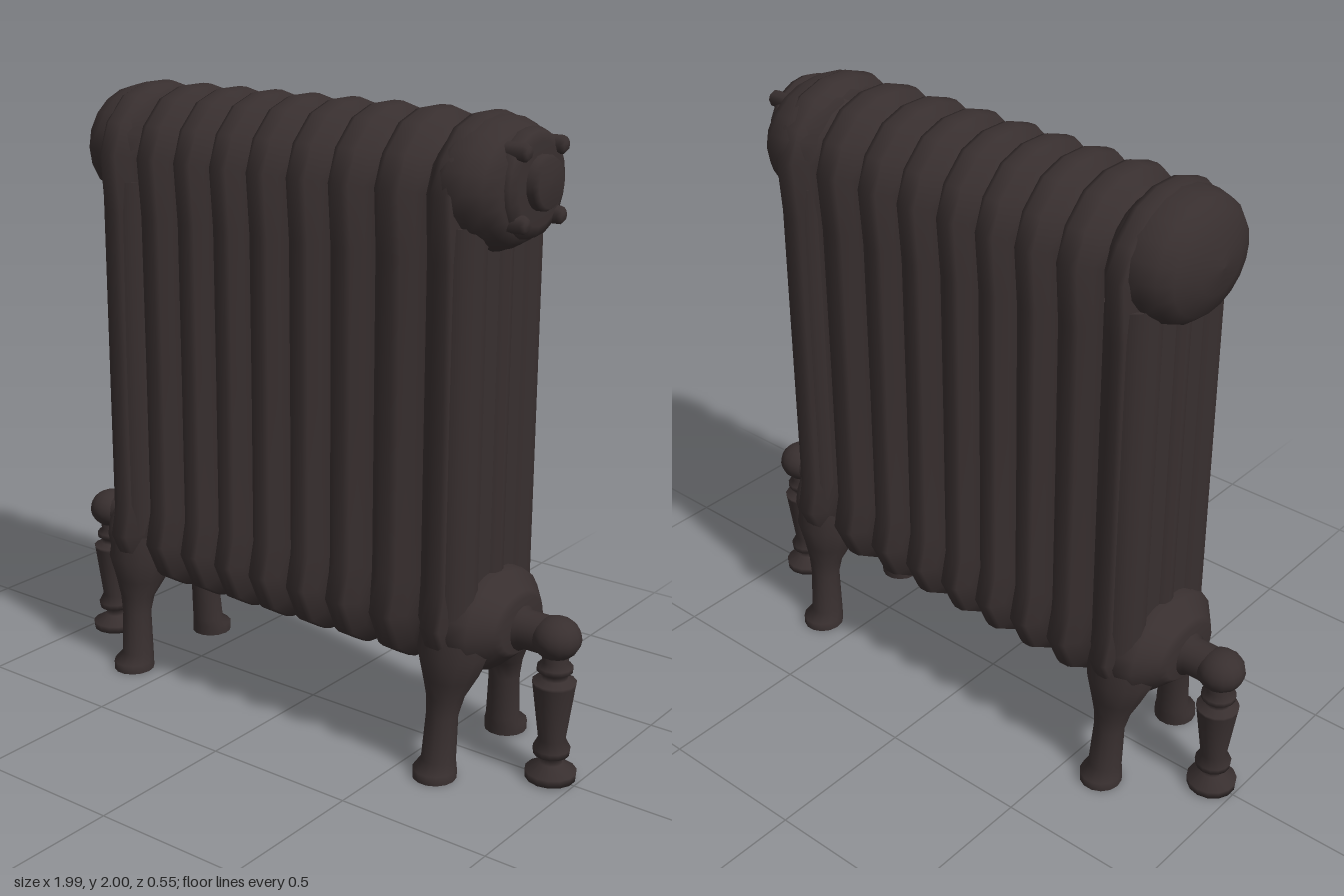
import * as THREE from 'three';

const iron = new THREE.MeshStandardMaterial({ color: 0x382f2f });
iron.name = 'dark cast iron';

// Skin a list of closed rings (counterclockwise about the travel axis), with flat caps.
function loft(rings) {
  const n = rings[0].length, pos = [], idx = [];
  rings.forEach(r => r.forEach(p => pos.push(...p)));
  for (let i = 0; i < rings.length - 1; i++) {
    for (let j = 0; j < n; j++) {
      const k = (j + 1) % n, a = i * n + j, b = i * n + k;
      idx.push(a, b, a + n, b, b + n, a + n);
    }
  }
  [rings[0], rings[rings.length - 1]].forEach((ring, end) => {
    const base = pos.length / 3;
    const mid = [0, 1, 2].map(c => ring.reduce((s, p) => s + p[c], 0) / n);
    ring.forEach(p => pos.push(...p));
    pos.push(...mid);
    for (let j = 0; j < n; j++) {
      const k = (j + 1) % n;
      if (end) idx.push(base + n, base + j, base + k);
      else idx.push(base + n, base + k, base + j);
    }
  });
  const g = new THREE.BufferGeometry();
  g.setAttribute('position', new THREE.Float32BufferAttribute(pos, 3));
  g.setIndex(idx);
  g.computeVertexNormals();
  return g;
}

function add(parent, name, geometry, x = 0, y = 0, z = 0) {
  const m = new THREE.Mesh(geometry, iron);
  m.name = name;
  m.position.set(x, y, z);
  parent.add(m);
  return m;
}

const lathe = (pts, seg = 20) =>
  new THREE.LatheGeometry(pts.map(p => new THREE.Vector2(...p)), seg);
// Profile turned about the x axis, points are [radius, x]
const latheX = (pts, seg) => lathe(pts, seg).rotateZ(-Math.PI / 2);

// Half outlines [z, y] from bottom centre to top centre: rib crest and groove
const crest = [[0, 0.31], [0.12, 0.325], [0.21, 0.38], [0.265, 0.5], [0.237, 0.61], [0.237, 1.1],
  [0.24, 1.6], [0.255, 1.79], [0.22, 1.89], [0.14, 1.97], [0.05, 2], [0, 2]];
const groove = [[0, 0.35], [0.08, 0.36], [0.15, 0.42], [0.185, 0.5], [0.175, 0.61], [0.175, 1.1],
  [0.175, 1.6], [0.185, 1.78], [0.155, 1.86], [0.1, 1.91], [0.04, 1.935], [0, 1.935]];

function ribRing(x, f) {
  const half = crest.map((c, i) => c.map((v, k) => THREE.MathUtils.lerp(groove[i][k], v, f)));
  const back = half.map(([z, y]) => [x, y, -z]);
  const front = half.slice(1, -1).reverse().map(([z, y]) => [x, y, z]);
  return [...back, ...front];
}

// One radiator section reaching l to the -x side and r to the +x side
function section(x, l, r) {
  const prof = [[-1, 0], [-0.72, 0.3], [-0.44, 0.9], [-0.2, 1], [0.2, 1], [0.44, 0.9], [0.72, 0.3], [1, 0]];
  return loft(prof.map(([t, f]) => ribRing(x + t * (t < 0 ? l : r), f)));
}

function ellipseRing([y, x, z, rx, rz]) {
  return Array.from({ length: 14 }, (_, j) => {
    const a = j / 14 * Math.PI * 2;
    return [x + Math.cos(a) * rx, y, z - Math.sin(a) * rz];
  });
}

// Everything found at both ends, built for the +x end
function endAssembly() {
  const g = new THREE.Group();

  // Three upright columns showing on the end face
  [[-0.15, 0.085], [0, 0.06], [0.15, 0.085]].forEach(([z, rz]) => {
    const c = add(g, 'endColumn', new THREE.CylinderGeometry(1, 1, 1.2, 16), 0.635, 1.1, z);
    c.scale.set(0.083, 1, rz);
  });

  const hub = add(g, 'lowerHub', latheX([[0, 0.54], [0.1, 0.56], [0.15, 0.62], [0.165, 0.68], [0.15, 0.73],
    [0.1, 0.785], [0.085, 0.8], [0, 0.8]]), 0, 0.475);
  hub.scale.z = 1.4;

  // Legs, front and back
  [1, -1].forEach(s => {
    const rings = [[0, 0.63, 0.205, 0.068, 0.07], [0.03, 0.63, 0.205, 0.068, 0.07],
      [0.055, 0.63, 0.185, 0.054, 0.054], [0.2, 0.635, 0.178, 0.05, 0.048],
      [0.26, 0.638, 0.168, 0.06, 0.058], [0.32, 0.64, 0.145, 0.085, 0.088],
      [0.4, 0.645, 0.135, 0.115, 0.11], [0.5, 0.645, 0.12, 0.11, 0.1]];
    add(g, 'leg', loft(rings.map(([y, x, z, rx, rz]) => ellipseRing([y, x, z * s, rx, rz]))));
  });

  // Pipe elbow and turned valve post
  add(g, 'pipe', latheX([[0.07, 0.74], [0.07, 0.805], [0.06, 0.815], [0.06, 0.9]], 16), 0, 0.465);
  const ball = add(g, 'elbowBall', new THREE.SphereGeometry(0.077, 14, 10), 0.917, 0.465);
  ball.scale.y = 0.87;
  add(g, 'valvePost', lathe([[0, 0], [0.078, 0.005], [0.08, 0.03], [0.035, 0.055], [0.03, 0.075],
    [0.055, 0.085], [0.058, 0.105], [0.042, 0.135], [0.066, 0.315], [0.068, 0.325], [0.04, 0.335],
    [0.04, 0.35], [0.055, 0.36], [0.055, 0.375], [0.04, 0.39], [0.042, 0.45]], 14), 0.917);
  return g;
}

export function createModel() {
  const root = new THREE.Group();
  root.name = 'radiator';

  // Row of ribbed sections
  const xs = [-0.64, -0.47, -0.32, -0.175, -0.03, 0.125, 0.28, 0.45, 0.64];
  xs.forEach((x, i) => {
    const l = i ? (x - xs[i - 1]) / 2 : 0.06;
    const r = i < xs.length - 1 ? (xs[i + 1] - x) / 2 : 0.06;
    add(root, 'section', section(x, l, r));
  });

  // Matching ends
  [['leftEnd', 0], ['rightEnd', Math.PI]].forEach(([name, turn]) => {
    const e = endAssembly();
    e.name = name;
    e.rotation.y = turn;
    root.add(e);
  });

  // Upper headers: bolted on the left, domed on the right
  const shoulder = [[0, 0.54], [0.15, 0.56], [0.185, 0.6], [0.197, 0.64], [0.192, 0.7]];
  const left = add(root, 'boltedHeader',
    latheX([...shoulder, [0.168, 0.745], [0.135, 0.78], [0, 0.79]]), 0, 1.8);
  left.scale.z = 1.27;
  const right = add(root, 'domedHeader',
    latheX([...shoulder, [0.18, 0.745], [0.15, 0.78], [0.08, 0.81], [0, 0.82]]), 0, 1.8);
  right.scale.z = 1.2;
  right.rotation.y = Math.PI;

  // End flange with centre boss and four bolts
  add(root, 'flange', latheX([[0.15, 0.74], [0.16, 0.77], [0.15, 0.795], [0.12, 0.805], [0, 0.805]]), 0, 1.81);
  add(root, 'boss', latheX([[0.08, 0.79], [0.08, 0.825], [0.07, 0.84], [0, 0.842]]), 0, 1.815);
  for (const y of [1.71, 1.91]) {
    for (const z of [-0.1, 0.1]) {
      add(root, 'bolt', latheX([[0.027, 0.75], [0.027, 0.815], [0.018, 0.825], [0, 0.827]], 8), 0, y, z);
    }
  }
  return root;
}
